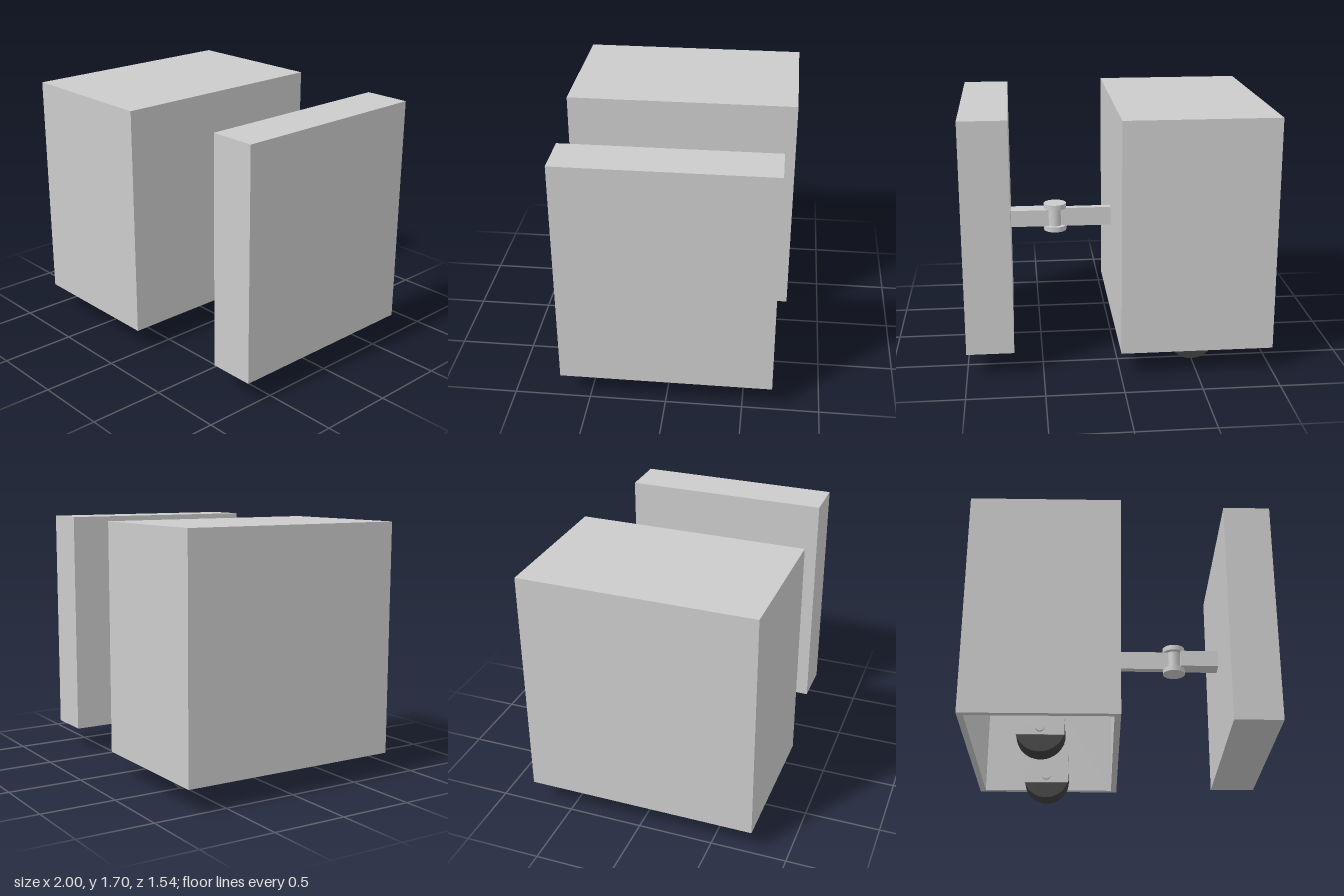
import * as THREE from 'three';

const grey = new THREE.MeshStandardMaterial({ color: 0xcccccc });
const rubber = new THREE.MeshStandardMaterial({ color: 0x404040 });

function add(parent, name, geometry, x, y, z, material = grey) {
  const mesh = new THREE.Mesh(geometry, material);
  mesh.name = name;
  mesh.position.set(x, y, z);
  parent.add(mesh);
  return mesh;
}

// Box given by its extents on each axis
function block(parent, name, [x0, x1], [y0, y1], [z0, z1]) {
  return add(parent, name, new THREE.BoxGeometry(x1 - x0, y1 - y0, z1 - z0),
    (x0 + x1) / 2, (y0 + y1) / 2, (z0 + z1) / 2);
}

// Upright cylinder between two heights
function post(parent, name, r, x, y0, y1, z) {
  return add(parent, name, new THREE.CylinderGeometry(r, r, y1 - y0, 32), x, (y0 + y1) / 2, z);
}

function rect(w, d, Type) {
  const p = new Type();
  p.moveTo(-w / 2, -d / 2).lineTo(w / 2, -d / 2).lineTo(w / 2, d / 2).lineTo(-w / 2, d / 2).closePath();
  return p;
}

// Wheel in a thin fork on a long stem
function caster(z) {
  const group = new THREE.Group();
  group.name = 'caster';
  group.position.set(-0.502, 0, z);
  const wheel = add(group, 'wheel', new THREE.CylinderGeometry(0.155, 0.155, 0.15, 48), 0, 0.155, 0, rubber);
  wheel.rotation.x = Math.PI / 2;
  const axle = add(group, 'axle', new THREE.CylinderGeometry(0.032, 0.032, 0.226, 24), 0, 0.155, 0);
  axle.rotation.x = Math.PI / 2;
  for (const s of [-1, 1]) {
    add(group, 'forkPlate', new THREE.BoxGeometry(0.306, 0.225, 0.008), 0, 0.2175, s * 0.09);
  }
  block(group, 'forkTop', [-0.153, 0.153], [0.32, 0.33], [-0.094, 0.094]);
  post(group, 'stem', 0.04, 0, 0.33, 1.66, 0);
  return group;
}

export function createModel() {
  const model = new THREE.Group();
  const wall = 0.04, bottom = 0.16, top = 1.697;

  // Hollow housing, open underneath
  const housing = new THREE.Group();
  housing.name = 'housing';
  const ring = rect(0.998, 1.536, THREE.Shape);
  ring.holes.push(rect(0.998 - 2 * wall, 1.536 - 2 * wall, THREE.Path));
  const walls = new THREE.ExtrudeGeometry(ring, { depth: top - wall - bottom, bevelEnabled: false });
  walls.rotateX(-Math.PI / 2);
  add(housing, 'walls', walls, -0.501, bottom, 0);
  block(housing, 'roof', [-1, -0.002], [top - wall, top], [-0.768, 0.768]);
  model.add(housing);

  // Casters under the housing
  for (const s of [-1, 1]) model.add(caster(s * 0.465));

  // Hinged arm
  const arm = new THREE.Group();
  arm.name = 'arm';
  block(arm, 'innerArm', [-0.002, 0.36], [0.803, 0.932], [-0.025, 0.025]);
  block(arm, 'outerArm', [0.43, 0.69], [0.815, 0.93], [-0.058, 0.058]);
  post(arm, 'hingePin', 0.046, 0.384, 0.8, 0.935, 0);
  post(arm, 'lowerHingeDisc', 0.077, 0.384, 0.773, 0.808, 0);
  post(arm, 'upperHingeDisc', 0.077, 0.384, 0.931, 0.966, 0);
  model.add(arm);

  // Solid side panel
  block(model, 'panel', [0.69, 1], [bottom, top], [-0.692, 0.692]);

  return model;
}
